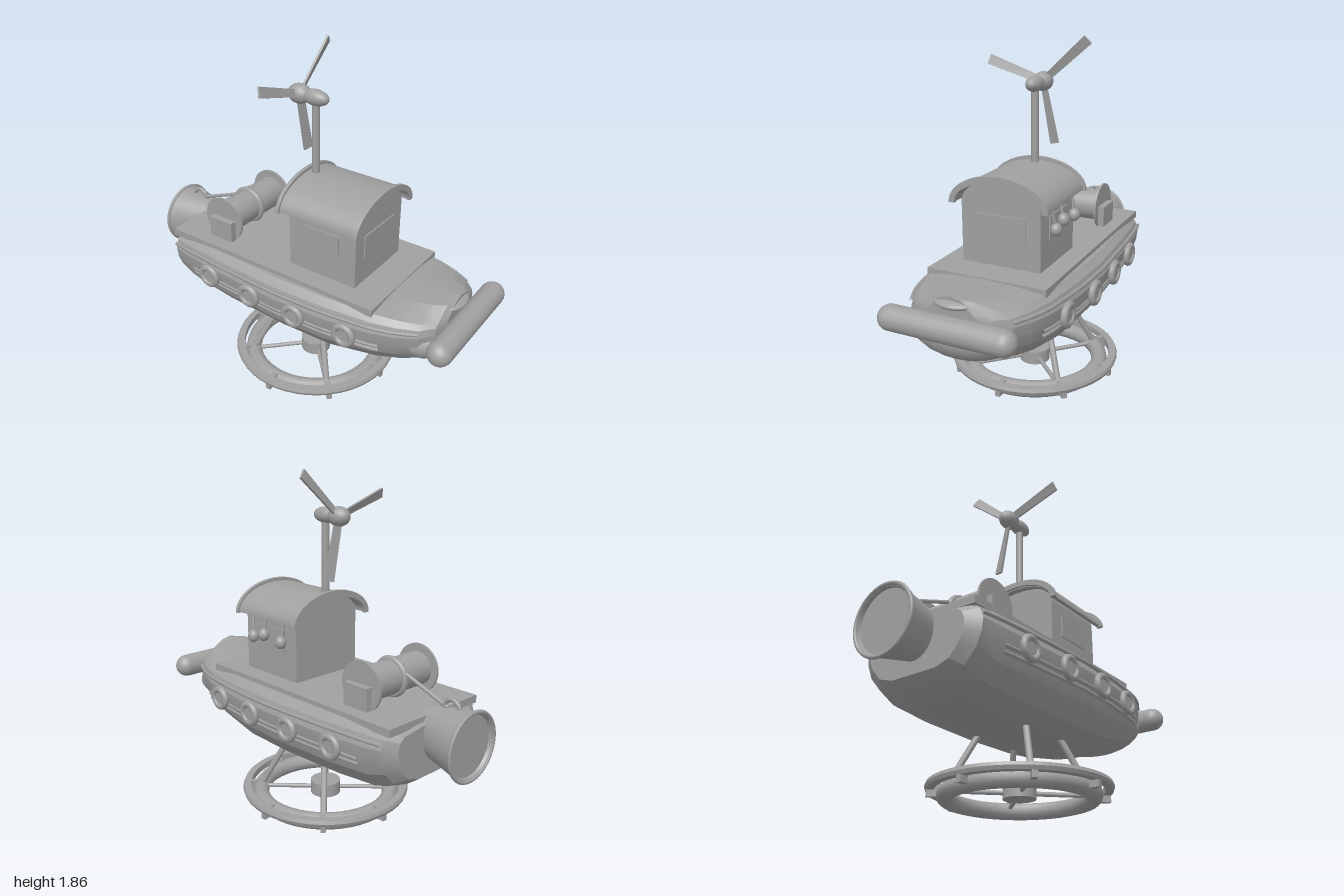
import * as THREE from 'three';
import { toCreasedNormals } from 'three/addons/utils/BufferGeometryUtils.js';

const V = (x, y, z) => new THREE.Vector3(x, y, z);
const grey = new THREE.MeshStandardMaterial({ color: 0xa0a0a0 });
grey.name = 'plain grey';

export function createModel() {
  const root = new THREE.Group();
  root.name = 'flyingBoat';

  const add = (name, geometry, x = 0, y = 0, z = 0) => {
    const mesh = new THREE.Mesh(geometry, grey);
    mesh.name = name;
    mesh.position.set(x, y, z);
    root.add(mesh);
    return mesh;
  };
  const box = (name, w, h, d, x, y, z) => add(name, new THREE.BoxGeometry(w, h, d), x, y, z);
  const ball = (name, rx, ry, rz, x, y, z) =>
    add(name, new THREE.SphereGeometry(1, 20, 14).scale(rx, ry, rz), x, y, z);
  // straight round bar between two points
  const bar = (name, a, b, r) => {
    const m = add(name, new THREE.CylinderGeometry(r, r, a.distanceTo(b), 10));
    m.position.copy(a).add(b).multiplyScalar(0.5);
    m.quaternion.setFromUnitVectors(V(0, 1, 0), b.clone().sub(a).normalize());
    return m;
  };
  // disc or drum lying along x
  const drum = (name, r, w, x, y, z) =>
    add(name, new THREE.CylinderGeometry(r, r, w, 28).rotateZ(Math.PI / 2), x, y, z);

  // hull stations: z, half width, keel y, side top y, centre top y
  const stations = [
    [-0.79, 0.29, 0.44, 0.69, 0.71], [-0.74, 0.355, 0.405, 0.715, 0.73],
    [-0.64, 0.37, 0.36, 0.72, 0.73], [-0.4, 0.39, 0.342, 0.72, 0.73],
    [0, 0.41, 0.338, 0.72, 0.73], [0.3, 0.4, 0.342, 0.72, 0.73],
    [0.57, 0.365, 0.385, 0.715, 0.738], [0.7, 0.325, 0.415, 0.71, 0.753],
    [0.8, 0.275, 0.45, 0.705, 0.768], [0.86, 0.21, 0.5, 0.705, 0.775],
    [0.885, 0.13, 0.56, 0.71, 0.778],
  ];
  const section = [[0.45, 0], [0.72, 0.1], [0.9, 0.33], [0.98, 0.55], [1, 0.75], [0.95, 0.91], [0.86, 1]];
  const halfWidth = (z) => {
    const i = Math.max(1, stations.findIndex((s) => s[0] >= z));
    const [a, b] = [stations[i - 1], stations[i]];
    return THREE.MathUtils.lerp(a[1], b[1], (z - a[0]) / (b[0] - a[0]));
  };

  // hull lofted from stern to bow
  const pos = [], index = [];
  const rings = stations.map(([z, w, y0, y1, yc]) => {
    const half = section.map(([u, v]) => [u * w, y0 + v * (y1 - y0)]);
    half.push([0.45 * w, y1 + 0.8 * (yc - y1)]);
    const left = half.slice().reverse().map(([x, y]) => [-x, y]);
    return [[0, y0], ...half, [0, yc], ...left].map(([x, y]) => [x, y, z]);
  });
  const n = rings[0].length;
  rings.forEach((r) => r.forEach((p) => pos.push(...p)));
  for (let i = 0; i < rings.length - 1; i++) {
    for (let j = 0; j < n; j++) {
      const a = i * n + j, b = i * n + (j + 1) % n;
      index.push(a, b, b + n, a, b + n, a + n);
    }
  }
  const last = (rings.length - 1) * n;
  for (let j = 1; j < n - 1; j++) {
    index.push(0, j + 1, j, last, last + j, last + j + 1);
  }
  const hull = new THREE.BufferGeometry();
  hull.setAttribute('position', new THREE.Float32BufferAttribute(pos, 3));
  hull.setIndex(index);
  add('hull', toCreasedNormals(hull, 0.3));

  // rounded nose and bow bumper
  ball('nose', 0.28, 0.135, 0.155, 0, 0.565, 0.775);
  ball('bowLip', 0.12, 0.03, 0.1, 0, 0.735, 0.82);
  add('bowBumper', new THREE.CapsuleGeometry(0.065, 0.59, 8, 18).rotateZ(Math.PI / 2), 0, 0.635, 0.935);

  // deck slab
  box('deck', 0.66, 0.04, 1.34, 0, 0.724, -0.1);

  // rubbing strakes and ring fenders on both sides
  for (const side of [1, -1]) {
    for (const [y, inset, from, to] of [[0.665, 0.002, -0.74, 0.8], [0.555, 0.01, -0.6, 0.62], [0.525, 0.018, -0.6, 0.62]]) {
      const pts = [];
      for (let i = 0; i <= 14; i++) {
        const z = from + (to - from) * i / 14;
        pts.push(V(side * (halfWidth(z) - inset), y, z));
      }
      add('strake', new THREE.TubeGeometry(new THREE.CatmullRomCurve3(pts), 42, 0.011, 6));
    }
    for (const z of [-0.45, -0.15, 0.15, 0.45]) {
      const x = side * (halfWidth(z) + 0.013);
      add('fenderRing', new THREE.TorusGeometry(0.051, 0.019, 10, 24).rotateY(Math.PI / 2), x, 0.58, z);
      drum('fenderCore', 0.033, 0.02, x, 0.58, z);
    }
  }

  // cabin with arched gables
  const cabin = new THREE.Shape();
  cabin.moveTo(-0.22, 0.735);
  cabin.lineTo(0.22, 0.735);
  cabin.lineTo(0.22, 1.065);
  cabin.absellipse(0, 1.065, 0.22, 0.125, 0, Math.PI, false);
  cabin.closePath();
  const extrude = (shape, depth) =>
    toCreasedNormals(new THREE.ExtrudeGeometry(shape, { depth, bevelEnabled: false, curveSegments: 20 }), 0.5);
  add('cabin', extrude(cabin, 0.41), 0, 0, -0.01);

  // curved roof with raised end rims
  const arch = (rx, ry, t, y) => {
    const s = new THREE.Shape();
    s.absellipse(0, y, rx, ry, 0, Math.PI, false);
    s.lineTo(-rx + t, y);
    s.absellipse(0, y, rx - t, ry - t, Math.PI, 0, true);
    s.closePath();
    return s;
  };
  add('roof', extrude(arch(0.262, 0.137, 0.02, 1.065), 0.46), 0, 0, -0.045);
  for (const z of [-0.06, 0.415]) {
    add('roofRim', extrude(arch(0.275, 0.16, 0.032, 1.06), 0.02), 0, 0, z);
  }

  // window plates
  box('frontWindow', 0.28, 0.13, 0.008, 0, 0.95, 0.403);
  for (const s of [1, -1]) box('sideWindow', 0.008, 0.13, 0.22, s * 0.223, 0.95, 0.19);

  // hanging floats under the eave
  for (const [z, y, lean] of [[0.3, 0.95, 0.02], [0.21, 0.975, 0], [0.07, 0.96, -0.01]]) {
    bar('floatCord', V(0.242, 1.075, z + lean), V(0.258, y, z), 0.008);
    ball('hangingFloat', 0.03, 0.035, 0.032, 0.26, y, z);
  }

  // mast, nacelle and three blades
  bar('mast', V(0, 1.18, 0), V(0, 1.61, 0), 0.021);
  ball('nacelle', 0.042, 0.042, 0.078, 0, 1.615, 0);
  ball('rotorHub', 0.052, 0.052, 0.067, 0, 1.615, -0.1);
  for (const deg of [42, 162.5, 282]) {
    const blade = new THREE.BoxGeometry(0.3, 0.055, 0.012).rotateX(0.3).translate(0.185, 0, 0);
    const p = blade.attributes.position;
    for (let i = 0; i < p.count; i++) if (p.getX(i) < 0.1) p.setY(i, p.getY(i) * 0.7);
    blade.computeVertexNormals();
    add('blade', blade, 0, 1.615, -0.1).rotation.z = THREE.MathUtils.degToRad(deg);
  }

  // winch reel
  drum('reelDrum', 0.09, 0.42, 0, 0.85, -0.48);
  add('reelCoil', new THREE.TorusGeometry(0.092, 0.017, 10, 28).rotateY(Math.PI / 2), 0, 0.85, -0.48);
  for (const s of [1, -1]) {
    drum('reelFlange', 0.13, 0.012, s * 0.212, 0.85, -0.48);
    box('reelBracket', 0.036, 0.125, 0.155, s * 0.235, 0.8, -0.475);
  }
  bar('towCable', V(0, 0.885, -0.58), V(0, 0.785, -0.84), 0.01);
  add('towRing', new THREE.TorusGeometry(0.045, 0.011, 8, 20).rotateY(Math.PI / 2), 0, 0.785, -0.865);

  // flared stern pipe with a shallow dished end
  const pipe = new THREE.LatheGeometry(
    [[0.13, 0], [0.172, 0.25], [0.16, 0.25], [0.155, 0.235], [0, 0.235]].map(([x, y]) => new THREE.Vector2(x, y)), 32);
  pipe.rotateX(-Math.PI / 2);
  const pp = pipe.attributes.position;
  for (let i = 0; i < pp.count; i++) {
    const k = Math.min(1, -pp.getZ(i) / 0.25);
    pp.setX(i, pp.getX(i) * (0.75 + 0.25 * k));
    pp.setY(i, pp.getY(i) + 0.015 * (1 - k));
  }
  add('sternPipe', toCreasedNormals(pipe, 0.5), 0, 0.63, -0.74);
  add('sternPipeRim', new THREE.TorusGeometry(0.172, 0.01, 8, 36), 0, 0.63, -0.99);

  // landing wheel: tyre, outer band, tabs, hub, spokes and struts
  add('landingTyre', new THREE.TorusGeometry(0.37, 0.045, 12, 48).rotateX(Math.PI / 2), 0, 0.045, 0);
  const band = [[0.425, 0.062], [0.465, 0.062], [0.472, 0.08], [0.465, 0.098], [0.425, 0.098], [0.425, 0.062]];
  add('landingBand', toCreasedNormals(
    new THREE.LatheGeometry(band.map(([x, y]) => new THREE.Vector2(x, y)), 48), 0.5));
  add('landingHub', new THREE.CylinderGeometry(0.085, 0.085, 0.075, 20), 0, 0.067, 0);
  for (let i = 0; i < 8; i++) {
    const a = i * Math.PI / 4;
    box('landingTab', 0.075, 0.065, 0.028, 0.425 * Math.cos(a), 0.06, -0.425 * Math.sin(a)).rotation.y = a;
  }
  for (const sx of [1, -1]) {
    for (const sz of [1, -1]) {
      bar('spoke', V(0, 0.06, 0), V(sx * 0.255, 0.06, sz * 0.255), 0.012);
      bar('strut', V(sx * 0.26, 0.07, sz * 0.26), V(sx * 0.145, 0.36, sz * 0.145), 0.017);
    }
  }
  return root;
}
